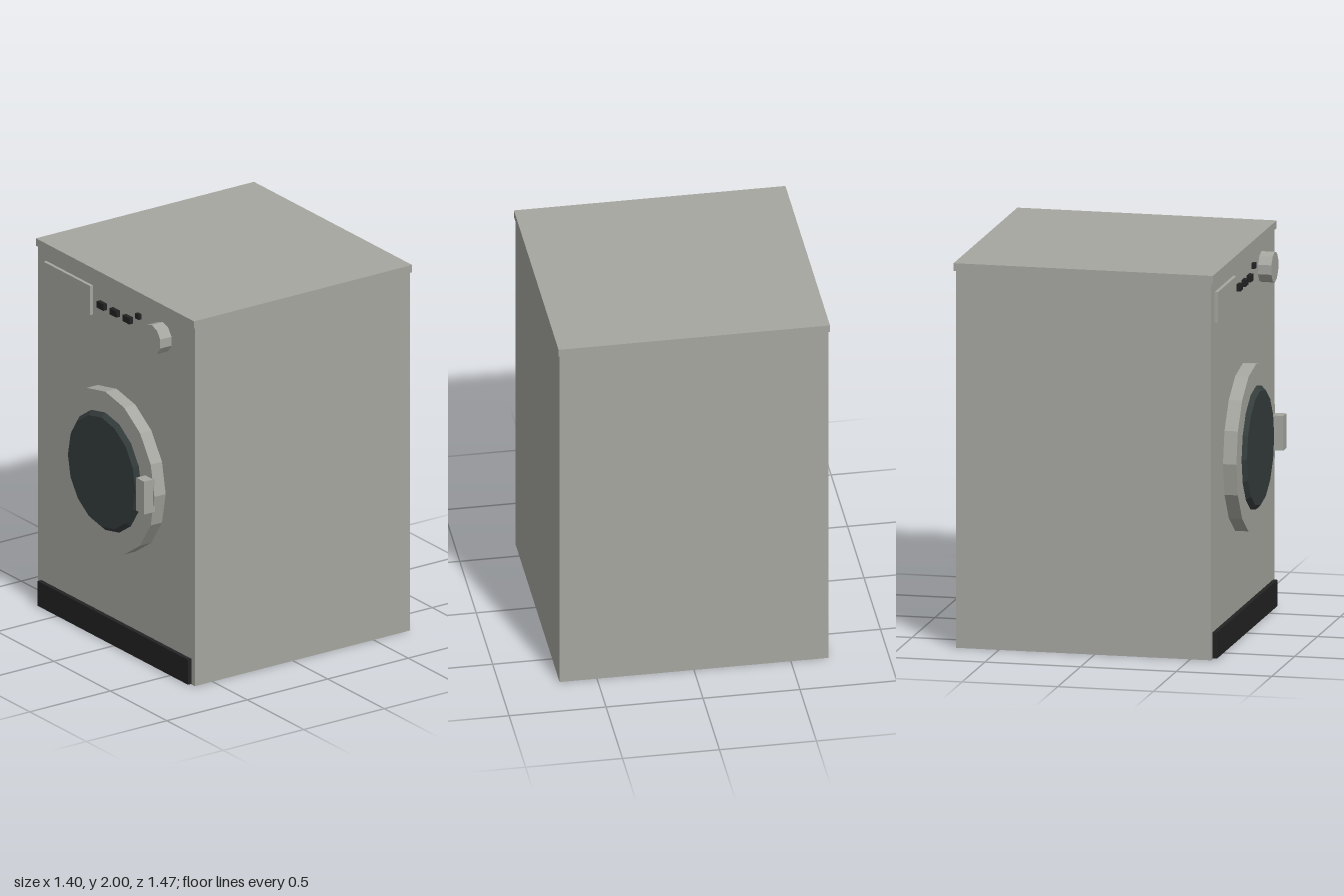
import * as THREE from 'three';

export function createModel() {
  const model = new THREE.Group();
  model.name = 'washingMachine';

  const material = (name, color) => {
    const m = new THREE.MeshStandardMaterial({ color, flatShading: true });
    m.name = name;
    return m;
  };
  const enamel = material('greyEnamel', 0xa6a6a0);
  const black = material('blackPlastic', 0x232323);
  const glass = material('darkGlass', 0x353d3d);

  const add = (name, geometry, mat) => {
    const mesh = new THREE.Mesh(geometry, mat);
    mesh.name = name;
    model.add(mesh);
    return mesh;
  };
  // Box given by its limits on each axis
  const box = (name, mat, [x0, x1], [y0, y1], [z0, z1]) =>
    add(name, new THREE.BoxGeometry(x1 - x0, y1 - y0, z1 - z0), mat)
      .position.set((x0 + x1) / 2, (y0 + y1) / 2, (z0 + z1) / 2);
  // Faceted disc facing +z, with a corner at the top
  const disc = (name, mat, x, y, z0, z1, rBack, rFront, sides) => {
    const g = new THREE.CylinderGeometry(rFront, rBack, z1 - z0, sides);
    g.rotateY(Math.PI).rotateX(Math.PI / 2);
    // the first corner now points up
    add(name, g, mat).position.set(x, y, (z0 + z1) / 2);
  };

  // Cabinet, worktop and kick plate
  box('cabinet', enamel, [-0.693, 0.693], [0, 1.96], [-0.725, 0.61]);
  box('worktop', enamel, [-0.7, 0.7], [1.96, 2], [-0.735, 0.62]);
  box('kickPlate', black, [-0.665, 0.665], [0.004, 0.14], [0.6, 0.633]);

  // Control panel
  box('detergentDrawer', enamel, [-0.62, -0.21], [1.74, 1.9], [0.6, 0.628]);
  for (const x of [-0.115, 0, 0.115])
    box('button', black, [x - 0.029, x + 0.029], [1.805, 1.84], [0.6, 0.632]);
  box('indicator', black, [0.19, 0.22], [1.853, 1.882], [0.6, 0.628]);
  disc('programKnob', enamel, 0.41, 1.82, 0.6, 0.68, 0.08, 0.08, 10);

  // Door with bevelled glass and handle
  disc('doorRing', enamel, 0, 0.967, 0.6, 0.68, 0.435, 0.435, 16);
  disc('doorGlass', glass, 0, 0.967, 0.679, 0.703, 0.322, 0.298, 16);
  box('doorHandle', enamel, [0.355, 0.424], [0.88, 1.06], [0.67, 0.737]);

  return model;
}
